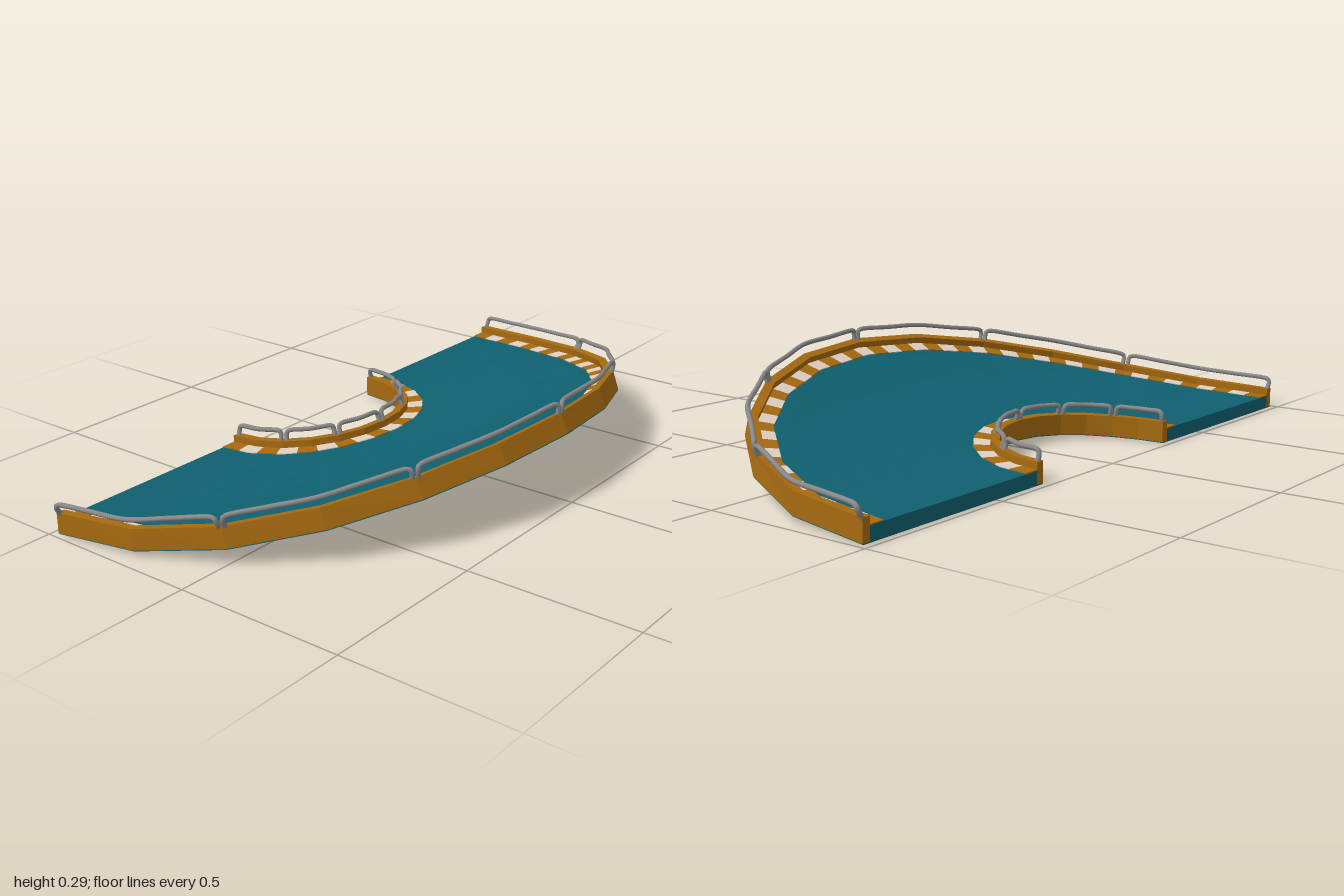
import * as THREE from 'three';

const SEGMENTS = 12;      // straight facets around the half ring
const BEND = 2.403;       // radius of the upward bend
const BACK = -0.479;      // z of the straight back edge

// Corner of the faceted half ring, bent upwards towards the front
function corner(r, i, h) {
  const a = (i / SEGMENTS) * Math.PI;
  const t = (r * Math.sin(a)) / BEND;
  return new THREE.Vector3(
    r * Math.cos(a),
    BEND - (BEND - h) * Math.cos(t),
    BACK + (BEND - h) * Math.sin(t)
  );
}

// Point at fraction u (0..1) around the ring, lying on the straight facets
function ringPoint(r, u, h) {
  const s = Math.min(Math.max(u, 0), 1) * SEGMENTS;
  const i = Math.min(Math.floor(s + 1e-9), SEGMENTS - 1);
  return corner(r, i, h).lerp(corner(r, i + 1, h), s - i);
}

// Sweep a closed counter-clockwise [radius, height] profile round the ring
function sweep(profile, from = 0, to = 1) {
  const stops = [from];
  for (let i = 1; i < SEGMENTS; i++) {
    const u = i / SEGMENTS;
    if (u > from + 1e-6 && u < to - 1e-6) stops.push(u);
  }
  stops.push(to);
  const n = profile.length;
  const pos = [], idx = [];
  for (const u of stops) {
    for (const [r, h] of profile) pos.push(...ringPoint(r, u, h).toArray());
  }
  for (let s = 0; s < stops.length - 1; s++) {
    for (let j = 0; j < n; j++) {
      const k = (j + 1) % n;
      const a = s * n + j, b = s * n + k;
      idx.push(a, b, b + n, a, b + n, a + n);
    }
  }
  const caps = THREE.ShapeUtils.triangulateShape(profile.map(([r, h]) => new THREE.Vector2(r, h)), []);
  const last = (stops.length - 1) * n;
  for (const [a, b, c] of caps) {
    idx.push(c, b, a, last + a, last + b, last + c);
  }
  const geo = new THREE.BufferGeometry();
  geo.setAttribute('position', new THREE.Float32BufferAttribute(pos, 3));
  geo.setIndex(idx);
  geo.computeVertexNormals();
  return geo;
}

export function createModel() {
  const model = new THREE.Group();
  const flat = (color) => new THREE.MeshStandardMaterial({ color, flatShading: true });
  const teal = flat(0x0f6070);
  const orange = flat(0xa66a10);
  const pale = flat(0xe0d0c4);
  const metal = new THREE.MeshStandardMaterial({ color: 0x888888 });

  function add(parent, name, geo, material) {
    const mesh = new THREE.Mesh(geo, material);
    mesh.name = name;
    parent.add(mesh);
  }

  // Road slab, with a thin flange that runs under both walls
  const inner = 0.325, outer = 0.96, top = 0.04, lip = 0.003, steps = 8;
  const deck = [];
  for (let i = 0; i <= steps; i++) deck.push([0.302 + (0.681 * i) / steps, 0]);
  deck.push([0.983, lip], [outer, lip]);
  for (let i = steps; i >= 0; i--) deck.push([inner + ((outer - inner) * i) / steps, top]);
  deck.push([inner, lip], [0.302, lip]);
  add(model, 'roadDeck', sweep(deck), teal);

  // Side walls
  add(model, 'outerWall', sweep([[outer, lip], [0.985, lip], [0.985, 0.063], [outer, 0.063]]), orange);
  add(model, 'innerWall', sweep([[0.3, lip], [inner, lip], [inner, 0.063], [0.3, 0.063]]), orange);

  // Striped kerbs lying on the road beside each wall
  function kerb(name, r0, r1, count) {
    const group = new THREE.Group();
    group.name = name;
    for (let i = 0; i < count; i++) {
      const strip = [[r0, top - 0.002], [r1, top - 0.002], [r1, top + 0.003], [r0, top + 0.003]];
      add(group, 'kerbStripe', sweep(strip, i / count, (i + 1) / count), i % 2 ? pale : orange);
    }
    model.add(group);
  }
  kerb('outerKerb', 0.915, outer, 51);
  kerb('innerKerb', inner, 0.372, 19);

  // Tubular guard rails: six spans per wall, each bent down to a post at both ends
  function guardRail(name, rBase, rRail) {
    const group = new THREE.Group();
    group.name = name;
    const spans = 6;
    const step = (d) => d / (Math.PI * rRail);
    for (let i = 0; i < spans; i++) {
      const u0 = i / spans + step(0.009), u1 = (i + 1) / spans - step(0.009);
      const at = (f) => u0 + (u1 - u0) * f;
      const end = (u, dir) => [
        ringPoint(rBase, u, 0.058),
        ringPoint(rRail, u, 0.082),
        ringPoint(rRail, u + dir * step(0.004), 0.089),
        ringPoint(rRail, u + dir * step(0.013), 0.092),
      ];
      const points = [
        ...end(u0, 1),
        ...[0.25, 0.5, 0.75].map((f) => ringPoint(rRail, at(f), 0.092)),
        ...end(u1, -1).reverse(),
      ];
      const path = new THREE.CatmullRomCurve3(points, false, 'centripetal');
      add(group, 'railSpan', new THREE.TubeGeometry(path, 64, 0.007, 8), metal);
    }
    model.add(group);
  }
  guardRail('outerGuardRail', 0.978, 0.992);
  guardRail('innerGuardRail', 0.313, 0.307);

  return model;
}
